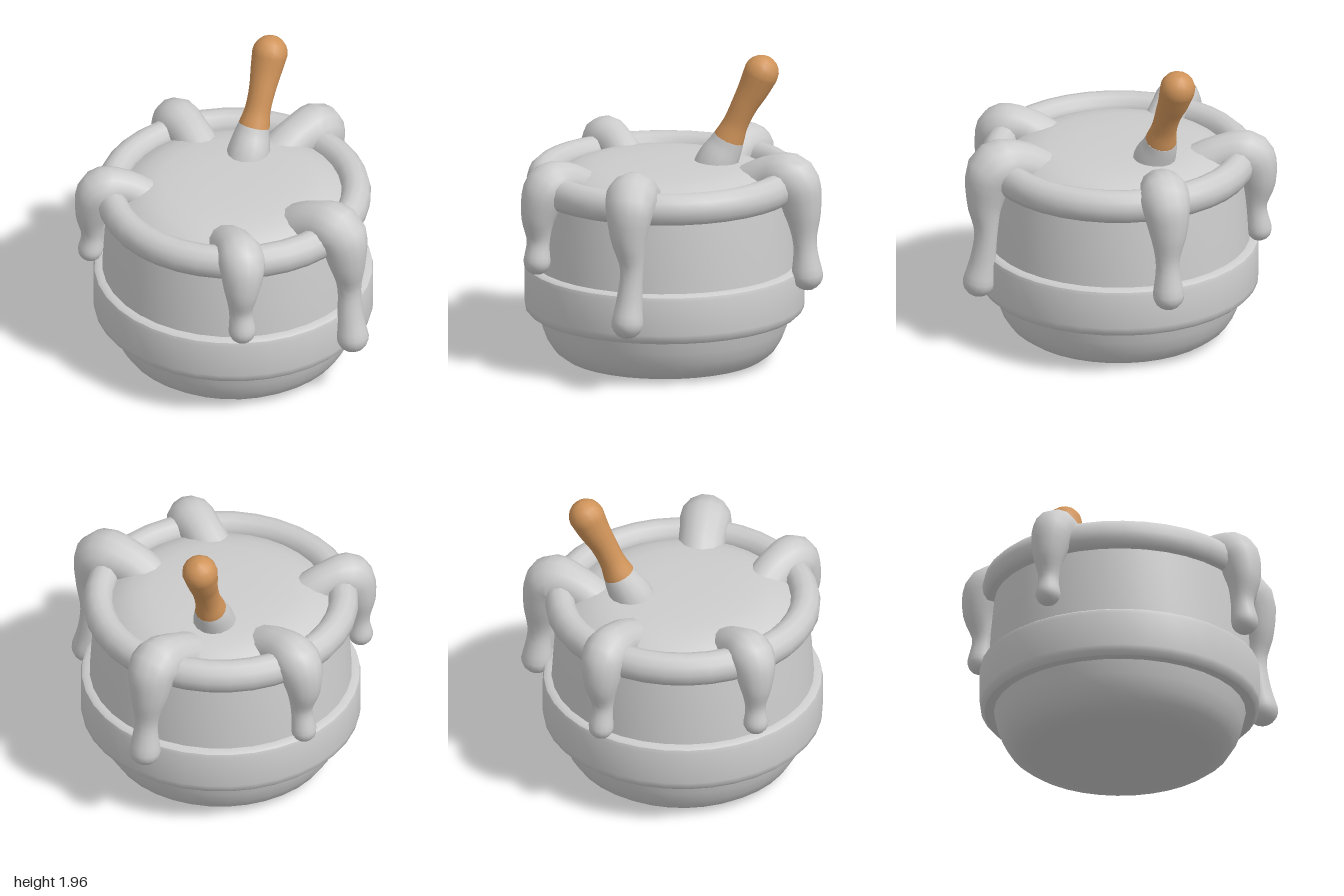
import * as THREE from 'three';
import { toCreasedNormals } from 'three/addons/utils/BufferGeometryUtils.js';

const AXIS_X = -0.062; // the pot's axis sits a little off centre

// Round sweep through [x, y, z, radius] points, with an optional domed end.
function sweep(rows, side, domed, steps = 22, sides = 14) {
  const path = new THREE.CatmullRomCurve3(rows.map(([x, y, z]) => new THREE.Vector3(x, y, z)));
  const radii = new THREE.CatmullRomCurve3(rows.map((p) => new THREE.Vector3(p[3], 0, 0)), false, 'catmullrom', 0.5);
  const rings = [];
  for (let i = 0; i <= steps; i++) {
    const t = i / steps;
    rings.push({ c: path.getPoint(t), t: path.getTangent(t), r: radii.getPoint(t).x });
  }
  if (domed) {
    const end = rings[steps];
    for (let k = 1; k <= 5; k++) {
      const a = (k / 5) * Math.PI / 2;
      rings.push({
        c: end.c.clone().addScaledVector(end.t, end.r * Math.sin(a)),
        t: end.t,
        r: Math.max(end.r * Math.cos(a), 0.0005),
      });
    }
  }
  const pos = [], index = [];
  rings.forEach(({ c, t, r }, i) => {
    const b = new THREE.Vector3().crossVectors(t, side).normalize();
    const s = new THREE.Vector3().crossVectors(b, t);
    for (let j = 0; j < sides; j++) {
      const a = (j / sides) * Math.PI * 2;
      const p = c.clone().addScaledVector(s, r * Math.cos(a)).addScaledVector(b, r * Math.sin(a));
      pos.push(p.x, p.y, p.z);
      if (i === rings.length - 1) continue;
      const p0 = i * sides + j, p1 = i * sides + (j + 1) % sides;
      index.push(p0, p1, p0 + sides, p1, p1 + sides, p0 + sides);
    }
  });
  const g = new THREE.BufferGeometry();
  g.setAttribute('position', new THREE.Float32BufferAttribute(pos, 3));
  g.setIndex(index);
  g.computeVertexNormals();
  return g;
}

export function createModel() {
  const group = new THREE.Group();
  const clay = new THREE.MeshStandardMaterial({ color: 0xcccccc });
  clay.name = 'light grey';
  const wood = new THREE.MeshStandardMaterial({ color: 0xd0945a });
  wood.name = 'warm wood';

  const add = (name, geometry, material) => {
    const mesh = new THREE.Mesh(geometry, material);
    mesh.name = name;
    group.add(mesh);
    return mesh;
  };
  const turned = (name, profile, crease = 0.7) => {
    const lathe = new THREE.LatheGeometry(profile.map(([r, y]) => new THREE.Vector2(r, y)), 36);
    add(name, toCreasedNormals(lathe, crease), clay).position.x = AXIS_X;
  };

  // Pot body
  turned('bowlBase', [[0, 0.005], [0.56, 0.005], [0.64, 0.025], [0.70, 0.07], [0.745, 0.14], [0.775, 0.22], [0.80, 0.33]]);
  turned('band', [[0.78, 0.31], [0.855, 0.31], [0.88, 0.335], [0.885, 0.37], [0.885, 0.59], [0.878, 0.615], [0.855, 0.63], [0.80, 0.63]]);
  turned('wall', [[0.83, 0.61], [0.815, 0.85], [0.79, 1.10]]);
  turned('rim', [
    [0.70, 1.08], [0.835, 1.08], [0.862, 1.12], [0.87, 1.17], [0.855, 1.225], [0.815, 1.262],
    [0.77, 1.272], [0.725, 1.258], [0.69, 1.22], [0.68, 1.17], [0.70, 1.08],
  ], 1.0);

  // Slightly domed filling
  turned('filling', [[0.71, 1.17], [0.64, 1.215], [0.56, 1.248], [0.45, 1.268], [0.25, 1.277], [0, 1.28]], 1.2);

  // Drips running over the rim: x, y, z, radius
  const drips = {
    frontLeftDrip: [
      [0.07, 1.12, 0.48, 0.15], [0.13, 1.22, 0.64, 0.15], [0.195, 1.23, 0.81, 0.165],
      [0.215, 1.02, 0.865, 0.12], [0.235, 0.82, 0.86, 0.076], [0.23, 0.62, 0.88, 0.083], [0.23, 0.47, 0.905, 0.103],
    ],
    frontRightDrip: [
      [-0.41, 1.13, 0.42, 0.14], [-0.445, 1.21, 0.57, 0.135], [-0.485, 1.205, 0.71, 0.15],
      [-0.52, 1.04, 0.765, 0.115], [-0.525, 0.87, 0.76, 0.075], [-0.525, 0.735, 0.775, 0.087],
    ],
    leftDrip: [
      [0.42, 1.12, -0.22, 0.15], [0.58, 1.21, -0.23, 0.14], [0.745, 1.22, -0.235, 0.16],
      [0.805, 1.04, -0.25, 0.125], [0.83, 0.82, -0.245, 0.075], [0.845, 0.61, -0.25, 0.1],
    ],
    backDrip: [
      [0.04, 1.12, -0.48, 0.15], [0.05, 1.21, -0.64, 0.13], [0.06, 1.215, -0.82, 0.145],
      [0.06, 1.05, -0.875, 0.118], [0.06, 0.86, -0.86, 0.07], [0.06, 0.7, -0.88, 0.08],
    ],
    rightDrip: [
      [-0.52, 1.13, -0.29, 0.13], [-0.64, 1.22, -0.36, 0.12], [-0.78, 1.23, -0.43, 0.14],
      [-0.825, 1.06, -0.465, 0.11], [-0.825, 0.89, -0.47, 0.066], [-0.83, 0.77, -0.475, 0.08],
    ],
  };
  for (const [name, rows] of Object.entries(drips)) {
    const [x, , z] = rows[2];
    const side = new THREE.Vector3(z, 0, AXIS_X - x).normalize();
    add(name, sweep(rows, side, true), clay);
  }

  // Leaning handle rising out of the filling
  const across = new THREE.Vector3(0, 0, 1);
  add('handleSocket', sweep([
    [0.165, 1.18, -0.195, 0.14], [0.2, 1.27, -0.21, 0.135], [0.24, 1.36, -0.235, 0.115], [0.265, 1.42, -0.245, 0.1],
  ], across, false, 8), clay);
  add('handle', sweep([
    [0.265, 1.42, -0.245, 0.1], [0.305, 1.52, -0.262, 0.082], [0.355, 1.64, -0.285, 0.085],
    [0.405, 1.75, -0.315, 0.1], [0.447, 1.852, -0.336, 0.113],
  ], across, true), wood);

  return group;
}
